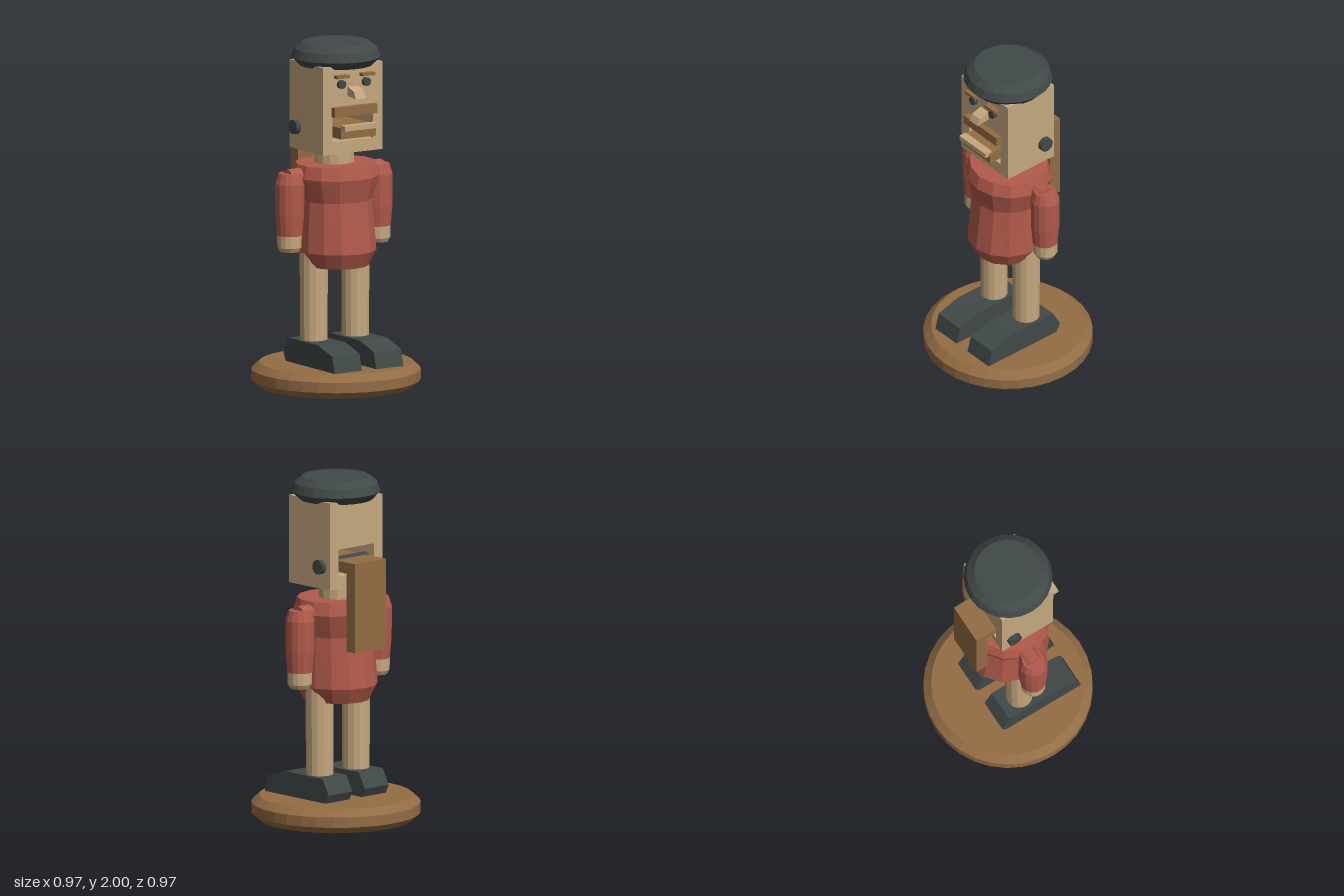
import * as THREE from 'three';

const paint = (color) => new THREE.MeshStandardMaterial({ color, flatShading: true });

export function createModel() {
  const model = new THREE.Group();
  const tan = paint(0xc6a87f), brown = paint(0x936c44), red = paint(0xb15a4b), dark = paint(0x414848);

  const add = (name, geometry, material, x = 0, y = 0, z = 0) => {
    const mesh = new THREE.Mesh(geometry, material);
    mesh.name = name;
    mesh.position.set(x, y, z);
    model.add(mesh);
    return mesh;
  };
  // Box given by its limits on each axis
  const box = (name, material, x0, x1, y0, y1, z0, z1) =>
    add(name, new THREE.BoxGeometry(x1 - x0, y1 - y0, z1 - z0), material,
      (x0 + x1) / 2, (y0 + y1) / 2, (z0 + z1) / 2);
  // Closed turned solid from [radius, height] pairs, bottom to top
  const turned = (profile, sides) => new THREE.LatheGeometry(
    [[0, profile[0][1]], ...profile, [0, profile.at(-1)[1]]].map(([r, y]) => new THREE.Vector2(r, y)), sides);
  const shapeOf = (points) => new THREE.Shape(points.map(([a, b]) => new THREE.Vector2(a, b)));
  // Side profile of [z, y] pairs, extruded across x and centred
  const sideExtrude = (points, width) => new THREE.ExtrudeGeometry(
    shapeOf(points.map(([z, y]) => [-z, y])), { depth: width, bevelEnabled: false })
    .translate(0, 0, -width / 2).rotateY(Math.PI / 2);

  // Stand
  add('base', turned([[0.44, 0], [0.485, 0.04], [0.485, 0.1], [0.44, 0.14]], 32), brown);

  // Torso, a little deeper than wide at the hem
  const torso = turned([[0.185, 0.705], [0.23, 0.795], [0.212, 1.09], [0.255, 1.225], [0.235, 1.3]], 14);
  const p = torso.attributes.position;
  for (let i = 0; i < p.count; i++) {
    p.setZ(i, p.getZ(i) * THREE.MathUtils.mapLinear(p.getY(i), 0.7, 1.3, 1.09, 0.93) - 0.005);
  }
  add('torso', torso, red);
  add('neck', new THREE.CylinderGeometry(0.115, 0.115, 0.14, 16), tan, 0, 1.33, -0.02);

  // Head with the jaw slot cut right through
  const face = shapeOf([[-0.205, 1.38], [0.205, 1.38], [0.205, 1.89], [-0.205, 1.89]]);
  face.holes.push(new THREE.Path(
    [[-0.14, 1.453], [-0.14, 1.61], [0.14, 1.61], [0.14, 1.453]].map(([x, y]) => new THREE.Vector2(x, y))));
  add('head', new THREE.ExtrudeGeometry(face, { depth: 0.345, bevelEnabled: false }), tan, 0, 0, -0.17);

  // Hinged jaw: bar, lip, back lever and pivot pin
  box('jawBar', brown, -0.12, 0.12, 1.475, 1.54, -0.22, 0.235);
  box('lowerLip', tan, -0.115, 0.115, 1.525, 1.555, 0.22, 0.268);
  box('lever', brown, -0.12, 0.12, 1.02, 1.54, -0.29, -0.215);
  add('jawPin', new THREE.CylinderGeometry(0.042, 0.042, 0.47, 16).rotateZ(Math.PI / 2), dark, 0, 1.51, -0.095);

  // Face
  box('moustache', brown, -0.145, 0.145, 1.6, 1.655, 0.165, 0.21);
  add('nose', sideExtrude([[0.165, 1.71], [0.22, 1.71], [0.258, 1.705], [0.24, 1.745], [0.165, 1.768]], 0.07), tan);

  // Hat
  add('hat', turned([[0.215, 1.87], [0.255, 1.915], [0.238, 1.965], [0.193, 2]], 24), dark);

  for (const s of [-1, 1]) {
    const side = s > 0 ? 'left' : 'right';

    add(side + 'Eye', new THREE.CylinderGeometry(0.025, 0.025, 0.04, 12).rotateX(Math.PI / 2),
      dark, s * 0.085, 1.785, 0.18);
    add(side + 'Brow', new THREE.BoxGeometry(0.085, 0.018, 0.045), brown, s * 0.087, 1.831, 0.19);

    // Arm: shoulder stub, sleeve and hand
    add(side + 'Shoulder', new THREE.CylinderGeometry(0.056, 0.056, 0.12, 12).rotateZ(Math.PI / 2),
      red, s * 0.26, 1.228, -0.022);
    add(side + 'Sleeve', turned([[0.073, 0.9], [0.083, 1.02], [0.084, 1.2], [0.065, 1.26]], 14),
      red, s * 0.302, 0, -0.022);
    add(side + 'Hand', turned([[0.056, 0.805], [0.07, 0.83], [0.071, 0.91]], 14), tan, s * 0.304, 0, -0.022);

    // Leg and shoe
    add(side + 'Leg', new THREE.CylinderGeometry(0.082, 0.078, 0.6, 14), tan, s * 0.142, 0.53, -0.015);
    add(side + 'Shoe', sideExtrude(
      [[0.345, 0.14], [0.32, 0.235], [0.175, 0.28], [-0.14, 0.28], [-0.19, 0.19], [-0.165, 0.14]], 0.187),
    dark, s * 0.142);
  }
  return model;
}
